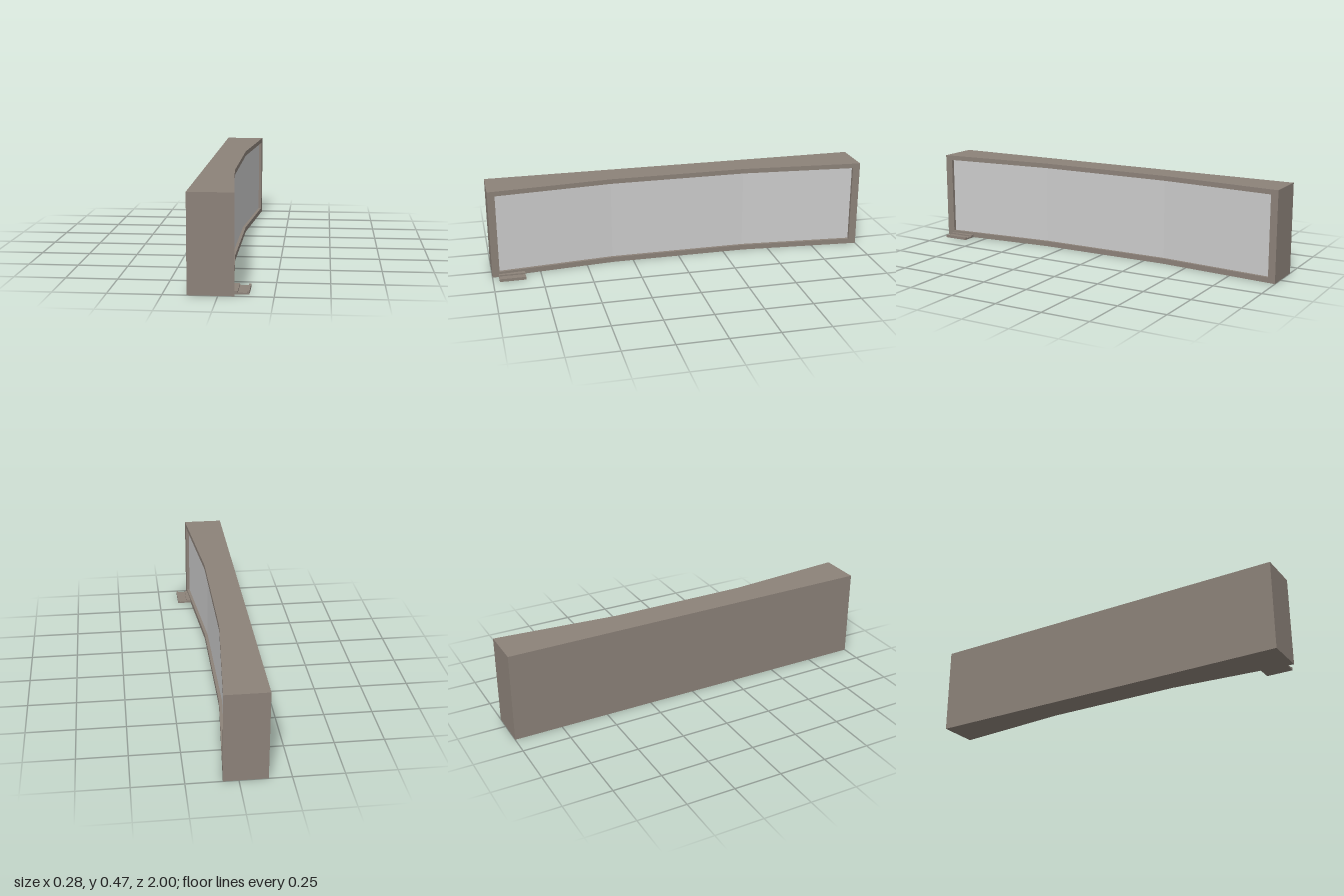
import * as THREE from 'three';

const BACK = -0.139, TOP = 0.466;      // back plane and overall height
const LOW = 0.027, HIGH = 0.441;       // opening of the frame
const RECESS = 0.016;                  // board set back from the frame
const STATIONS = [1, 0.962, 0.36, -0.36, -0.962, -1];

// Front face: flat in the middle, wings angled forward
const frontX = (z) => 0.02 + 0.055 * Math.max(0, (Math.abs(z) - 0.36) / 0.64);

// Collects four-cornered faces (counter-clockwise) into a flat-shaded geometry
function quadGeometry(quads) {
  const pos = [];
  for (const [a, b, c, d] of quads) pos.push(...a, ...b, ...c, ...a, ...c, ...d);
  const g = new THREE.BufferGeometry();
  g.setAttribute('position', new THREE.Float32BufferAttribute(pos, 3));
  g.computeVertexNormals();
  return g;
}

export function createModel() {
  const group = new THREE.Group();
  const frameMat = new THREE.MeshStandardMaterial({ color: 0x8c8279 });
  const boardMat = new THREE.MeshStandardMaterial({ color: 0xcccccc });
  const add = (name, geometry, material) => {
    const mesh = new THREE.Mesh(geometry, material);
    mesh.name = name;
    group.add(mesh);
  };

  const frame = [], board = [];
  const front = (z, y) => [frontX(z), y, z];
  const inner = (z, y) => [frontX(z) - RECESS, y, z];
  const back = (z, y) => [BACK, y, z];

  for (let i = 0; i < STATIONS.length - 1; i++) {
    const a = STATIONS[i], b = STATIONS[i + 1];
    const face = (p, y0, y1) => [p(a, y0), p(b, y0), p(b, y1), p(a, y1)];
    // top and underside
    frame.push([front(a, TOP), front(b, TOP), back(b, TOP), back(a, TOP)]);
    frame.push([back(a, 0), back(b, 0), front(b, 0), front(a, 0)]);
    if (i === 0 || i === STATIONS.length - 2) {
      frame.push(face(front, 0, TOP)); // end stile
    } else {
      // rails, their inner edges, and the board panel
      frame.push(face(front, 0, LOW), face(front, HIGH, TOP));
      frame.push([inner(a, LOW), front(a, LOW), front(b, LOW), inner(b, LOW)]);
      frame.push([front(a, HIGH), inner(a, HIGH), inner(b, HIGH), front(b, HIGH)]);
      board.push(face(inner, LOW, HIGH));
    }
  }
  // back and outer ends
  frame.push([back(-1, 0), back(1, 0), back(1, TOP), back(-1, TOP)]);
  frame.push([back(1, 0), front(1, 0), front(1, TOP), back(1, TOP)]);
  frame.push([front(-1, 0), back(-1, 0), back(-1, TOP), front(-1, TOP)]);
  // inner edges of the stiles
  const e = STATIONS[1];
  frame.push([front(e, LOW), inner(e, LOW), inner(e, HIGH), front(e, HIGH)]);
  frame.push([inner(-e, LOW), front(-e, LOW), front(-e, HIGH), inner(-e, HIGH)]);

  add('frame', quadGeometry(frame), frameMat);
  add('board', quadGeometry(board), boardMat);

  // Small ledge tray: channel profile extruded along z
  const profile = new THREE.Shape([
    [0.058, 0], [0.138, 0], [0.138, 0.015], [0.128, 0.015],
    [0.128, 0.008], [0.086, 0.008], [0.086, 0.015], [0.058, 0.015],
  ].map(([x, y]) => new THREE.Vector2(x, y)));
  const tray = new THREE.ExtrudeGeometry(profile, { depth: 0.135, bevelEnabled: false });
  tray.translate(0, 0, 0.832);
  add('tray', tray, frameMat);

  return group;
}
